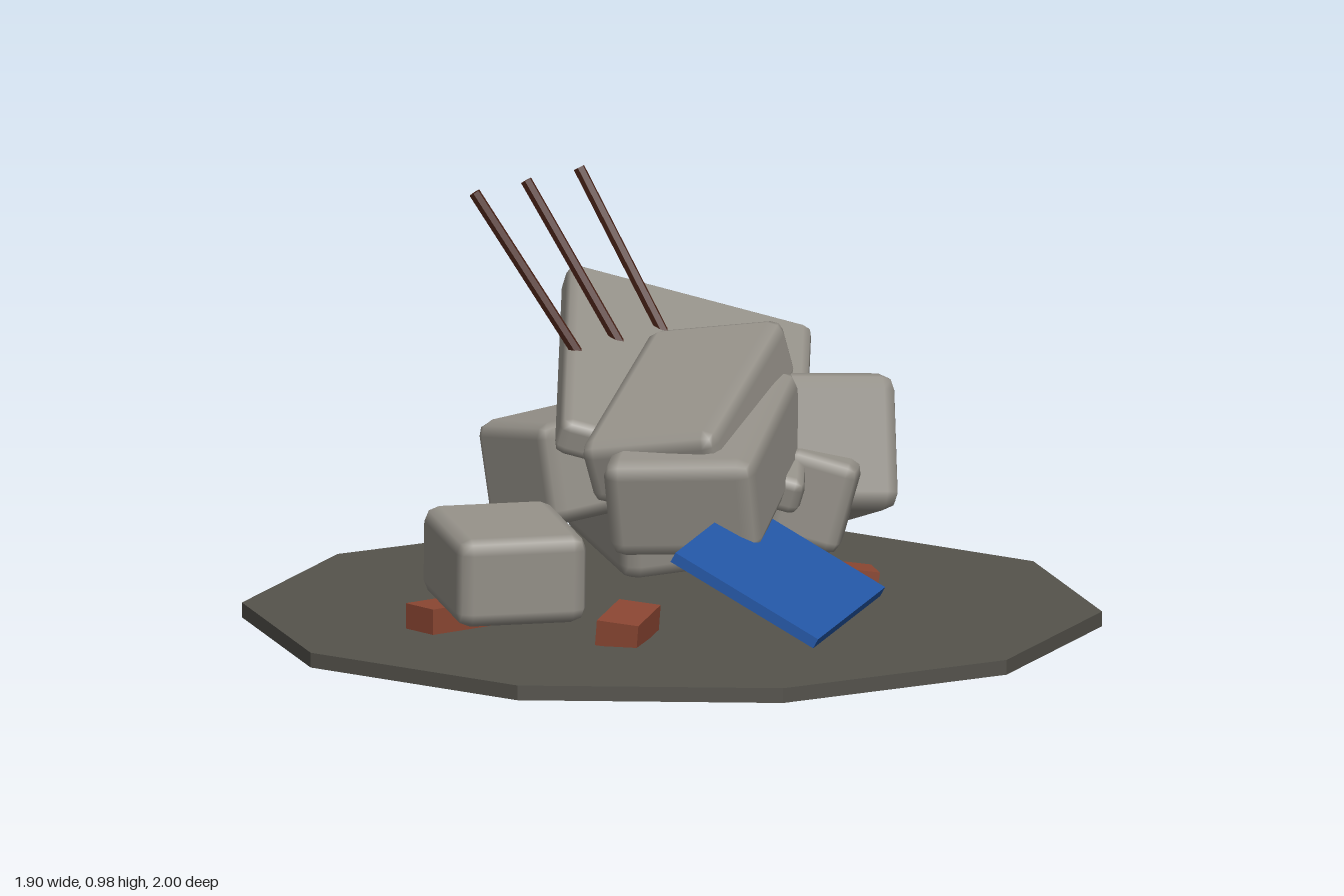
import * as THREE from 'three';
import { RoundedBoxGeometry } from 'three/addons/geometries/RoundedBoxGeometry.js';

const V = (a) => new THREE.Vector3(...a);
const mat = (color, flatShading = false) => new THREE.MeshStandardMaterial({ color, flatShading });

export function createModel() {
  const model = new THREE.Group();
  const concrete = mat(0x959189);
  const rust = mat(0x4a2318, true);
  const brickMat = mat(0x8a4632, true);
  const blue = mat(0x2458a8, true);
  const green = mat(0x4c6b22, true);

  function add(name, geometry, material, position) {
    const mesh = new THREE.Mesh(geometry, material);
    mesh.name = name;
    mesh.position.set(...position);
    model.add(mesh);
    return mesh;
  }

  // Turn a mesh so its x axis follows "along" and its y axis leans towards "up"
  function orient(mesh, along, up) {
    const x = V(along).normalize();
    const z = new THREE.Vector3().crossVectors(x, V(up)).normalize();
    const y = new THREE.Vector3().crossVectors(z, x);
    mesh.quaternion.setFromRotationMatrix(new THREE.Matrix4().makeBasis(x, y, z));
  }

  // Ten-sided ground plate
  add('groundPlate', new THREE.CylinderGeometry(1, 1, 0.035, 10), mat(0x55534c, true), [0, 0.0175, 0]);

  // Bevelled concrete chunks: name, size, centre, long direction, up direction, bevel
  const chunks = [
    ['tiltedSlab', [0.92, 0.09, 0.59], [0.195, 0.505, -0.125], [0.71, 0.205, -0.555], [0, 0.94, 0.35], 0.025],
    ['upperChunk', [0.6, 0.16, 0.34], [-0.1, 0.53, 0.13], [0.5, 0.17, -0.2], [-0.3, 0.95, -0.05], 0.035],
    ['leftChunk', [0.6, 0.24, 0.36], [-0.13, 0.42, 0.2], [0.86, 0.2, -0.46], [-0.2, 0.97, 0.05], 0.04],
    ['rightChunk', [0.65, 0.32, 0.39], [0.35, 0.345, 0.02], [0.46, -0.28, -0.83], [0.2, 0.95, -0.2], 0.04],
    ['smallChunk', [0.16, 0.22, 0.18], [0.19, 0.3, 0.27], [0.8, 0, -0.55], [0.1, 0.95, 0.25], 0.03],
    ['backRightChunk', [0.41, 0.34, 0.44], [0.44, 0.235, -0.35], [0.85, 0.06, 0.5], [0, 0.98, 0.17], 0.04],
    ['backChunk', [0.38, 0.24, 0.3], [0.16, 0.31, -0.4], [0.95, 0.08, 0.28], [-0.05, 0.97, -0.15], 0.035],
    ['looseBlock', [0.39, 0.21, 0.31], [-0.53, 0.21, -0.07], [0.6, 0.05, -0.78], [0, 1, 0], 0.035],
  ];
  for (const [name, size, centre, along, up, bevel] of chunks) {
    orient(add(name, new RoundedBoxGeometry(...size, 1, bevel), concrete, centre), along, up);
  }

  // Flat blue panel leaning on the pile
  orient(add('bluePanel', new THREE.BoxGeometry(0.64, 0.025, 0.39), blue, [-0.325, 0.235, 0.58]),
    [0.58, 0, -0.27], [0.051, 0.22, 0.11]);

  // Bent-over reinforcing bars rising from the slab
  const bars = [
    [[0.01, 0.57, -0.265], [-0.13, 0.975, -0.485]],
    [[0.16, 0.57, -0.265], [0.06, 0.975, -0.485]],
    [[0.32, 0.57, -0.265], [0.255, 0.975, -0.485]],
  ];
  for (const [from, to] of bars) {
    const a = V(from), b = V(to);
    const bar = add('reinforcingBar', new THREE.CylinderGeometry(0.014, 0.014, a.distanceTo(b), 6), rust,
      a.clone().add(b).multiplyScalar(0.5).toArray());
    bar.quaternion.setFromUnitVectors(new THREE.Vector3(0, 1, 0), b.sub(a).normalize());
  }

  // Loose bricks on the ground: centre, long direction, up direction
  const bricks = [
    [[-0.5, 0.065, -0.25], [0.97, 0, 0.2], [0, 1, 0]],
    [[-0.36, 0.068, 0.16], [0.9, 0.06, -0.4], [0, 1, 0.1]],
    [[0.38, 0.07, 0.17], [0.75, -0.15, 0.6], [0, 1, 0]],
    [[0.54, 0.068, -0.28], [0.8, -0.08, 0.55], [0, 1, 0]],
    [[-0.055, 0.068, -0.545], [0.4, 0.06, 0.9], [0.15, 1, 0]],
    [[0.5, 0.068, -0.54], [0.5, 0, -0.85], [0, 1, 0]],
  ];
  for (const [centre, along, up] of bricks) {
    orient(add('brick', new THREE.BoxGeometry(0.2, 0.06, 0.1), brickMat, centre), along, up);
  }

  // Tuft of grass fanning out beside the pile
  for (let i = 0; i < 6; i++) {
    const t = i / 5 - 0.5;
    const height = 0.13 + 0.05 * ((i * 2) % 3) / 2;
    const geometry = new THREE.ConeGeometry(0.02, height, 4).translate(0, height / 2, 0);
    const blade = add('grassBlade', geometry, green, [0.61 + 0.025 * (i % 2), 0.03, -0.46 + t * 0.11]);
    blade.rotation.set(t * 0.5, 0, i % 2 ? -0.12 : 0.12);
  }

  return model;
}
